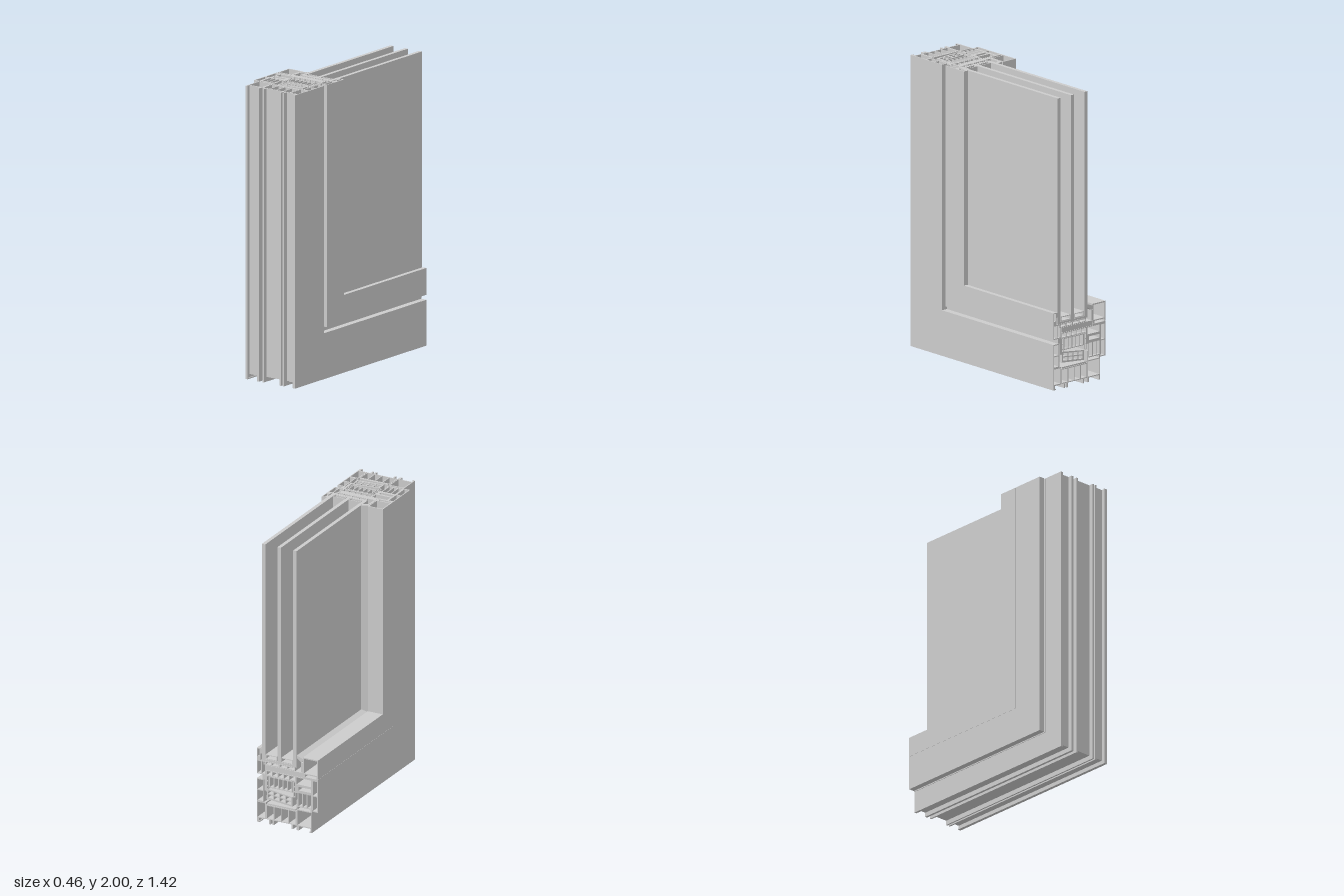
import * as THREE from 'three';

const OUT = 0.71, TOP = 2;
const material = new THREE.MeshStandardMaterial({ color: 0xcccccc });

// Profile points are [x, d]; d is the distance in from the outer edge of the frame.
const toPath = (pts) => pts.map(([x, d]) => new THREE.Vector2(x, d));
const rect = (x0, x1, d0, d1) => [[x0, d0], [x1, d0], [x1, d1], [x0, d1]];

// Sweep a profile along the bottom rail, round a mitred corner and up the stile.
function sweep(parent, name, outline, holes = []) {
  const shape = new THREE.Shape(toPath(outline));
  shape.holes = holes.map((h) => new THREE.Path(toPath(h)));
  const geo = new THREE.ExtrudeGeometry(shape, { depth: 2, steps: 2, bevelEnabled: false });
  const p = geo.attributes.position;
  for (let i = 0; i < p.count; i++) {
    const d = p.getY(i), t = Math.round(p.getZ(i));
    p.setXYZ(i, p.getX(i), t === 2 ? TOP : d, t === 0 ? -OUT : OUT - d);
  }
  geo.computeVertexNormals();
  const mesh = new THREE.Mesh(geo, material);
  mesh.name = name;
  parent.add(mesh);
}

// Grid of rectangular chambers inside a rectangle
function cells(x0, x1, d0, d1, nx = 1, nd = 1, w = 0.007) {
  const cw = (x1 - x0 - w) / nx, cd = (d1 - d0 - w) / nd, out = [];
  for (let i = 0; i < nx; i++)
    for (let j = 0; j < nd; j++)
      out.push(rect(x0 + w + i * cw, x0 + (i + 1) * cw, d0 + w + j * cd, d0 + (j + 1) * cd));
  return out;
}
const hollow = (parent, name, x0, x1, d0, d1, nx, nd, w) =>
  sweep(parent, name, rect(x0, x1, d0, d1), cells(x0, x1, d0, d1, nx, nd, w));
const bar = (parent, name, ...r) => sweep(parent, name, rect(...r));

function group(parent, name) {
  const g = new THREE.Group();
  g.name = name;
  parent.add(g);
  return g;
}

export function createModel() {
  const model = new THREE.Group();
  model.name = 'windowCornerSection';

  // Fixed frame: inner chamber, thermal break and outer chamber, with feet below
  const frame = group(model, 'frame');
  sweep(frame, 'frameInnerProfile',
    [[-0.185, 0], [-0.168, 0], [-0.168, 0.008], [-0.176, 0.008], [-0.176, 0.03], [-0.088, 0.03],
      [-0.088, 0.008], [-0.088, 0], [-0.071, 0], [-0.071, 0.215], [-0.079, 0.215], [-0.079, 0.15], [-0.185, 0.15]],
    cells(-0.185, -0.071, 0.03, 0.15));
  hollow(frame, 'frameThermalBreak', -0.069, 0.158, 0.032, 0.135, 4, 1, 0.006);
  bar(frame, 'thermalBreakRib', -0.062, 0.152, 0.137, 0.147);
  sweep(frame, 'frameOuterProfile',
    [[0.16, 0.03], [0.212, 0.03], [0.212, 0.008], [0.206, 0.008], [0.206, 0], [0.228, 0], [0.228, 0.313],
      [0.176, 0.313], [0.176, 0.15], [0.16, 0.15]],
    [...cells(0.16, 0.228, 0.03, 0.15), ...cells(0.176, 0.228, 0.15, 0.313, 1, 2)]);
  for (const x of [-0.044, 0.1, 0.124]) bar(frame, 'frameFoot', x, x + 0.011, 0, 0.031);

  // Opening sash: inner profile with its proud overlap
  const sash = group(model, 'sash');
  sweep(sash, 'sashInnerProfile',
    [[-0.232, 0.155], [-0.192, 0.155], [-0.192, 0.168], [-0.08, 0.168], [-0.08, 0.265], [-0.065, 0.265],
      [-0.065, 0.382], [-0.12, 0.382], [-0.12, 0.392], [-0.232, 0.392]],
    [...cells(-0.232, -0.187, 0.155, 0.382, 1, 2), ...cells(-0.187, -0.08, 0.168, 0.275, 3, 1),
      ...cells(-0.187, -0.08, 0.28, 0.32), ...cells(-0.187, -0.065, 0.322, 0.384)]);
  // Outer profile, with the flange that covers the glass edge
  sweep(sash, 'sashOuterProfile',
    [[0.16, 0.347], [0.228, 0.347], [0.228, 0.53], [0.2, 0.53], [0.2, 0.445], [0.16, 0.445]],
    [...cells(0.16, 0.228, 0.347, 0.445, 2, 1), ...cells(0.2, 0.228, 0.465, 0.53, 1, 1, 0.006)]);
  bar(sash, 'sashOuterLeg', 0.158, 0.17, 0.235, 0.347);

  // Sash thermal break and insulating core
  bar(sash, 'rebateFloor', -0.118, 0.158, 0.384, 0.418);
  hollow(sash, 'sashThermalBreak', -0.063, 0.158, 0.345, 0.382, 5, 1, 0.005);
  hollow(sash, 'insulationBlock', -0.04, 0.135, 0.262, 0.343, 5, 1, 0.006);
  for (const [x0, x1] of [[-0.063, -0.046], [0.14, 0.157]])
    hollow(sash, 'insulatingStrip', x0, x1, 0.23, 0.343, 1, 3, 0.004);

  // Slanted centre seal with two rows of chambers
  const slant = (x) => (x + 0.04) * 0.22, sealCells = [];
  for (let i = 0; i < 4; i++)
    for (let j = 0; j < 2; j++) {
      const a = -0.03 + i * 0.045, b = a + 0.037, d = 0.17 + j * 0.029;
      sealCells.push([[a, d + slant(a) * 0.5], [b, d + slant(b) * 0.5],
        [b, d + 0.022 + slant(b) * 0.5], [a, d + 0.022 + slant(a) * 0.5]]);
    }
  sweep(sash, 'centreSeal', [[-0.04, 0.16], [0.155, 0.178], [0.15, 0.252], [-0.04, 0.228]], sealCells);
  bar(sash, 'innerStopGasket', -0.187, -0.176, 0.151, 0.167);
  bar(sash, 'outerStopGasket', 0.172, 0.186, 0.314, 0.346);

  // Glazing bead and gaskets
  const glazing = group(model, 'glazing');
  hollow(glazing, 'glazingBead', -0.232, -0.119, 0.41, 0.53, 1, 1, 0.008);
  bar(glazing, 'beadClipOuter', -0.232, -0.222, 0.393, 0.41);
  bar(glazing, 'beadClipInner', -0.135, -0.12, 0.393, 0.41);
  sweep(glazing, 'innerGlassGasket', [[-0.118, 0.5], [-0.108, 0.49], [-0.073, 0.515], [-0.073, 0.536], [-0.118, 0.518]]);
  bar(glazing, 'innerGasketFoot', -0.118, -0.106, 0.42, 0.49);
  bar(glazing, 'outerGlassGasket', 0.19, 0.2, 0.495, 0.527);

  // Three panes separated by hollow spacers, resting on packers
  const paneX = [-0.072, 0.047, 0.164], thick = 0.026, bottom = 0.446;
  const height = TOP - bottom, width = 2 * OUT - bottom;
  paneX.forEach((x, i) => {
    const pane = new THREE.Mesh(new THREE.BoxGeometry(thick, height, width), material);
    pane.name = 'glassPane';
    pane.position.set(x + thick / 2, bottom + height / 2, -OUT + width / 2);
    glazing.add(pane);
    if (i === 2) return;
    const a = x + thick, b = paneX[i + 1];
    hollow(glazing, 'glassSpacer', a + 0.003, b - 0.003, 0.462, 0.495, 1, 1, 0.005);
    bar(glazing, 'spacerSeal', a, b, 0.447, 0.46);
    hollow(glazing, 'glassPacker', a - 0.015, b + 0.012, 0.42, 0.445, 2, 1, 0.005);
  });
  return model;
}
